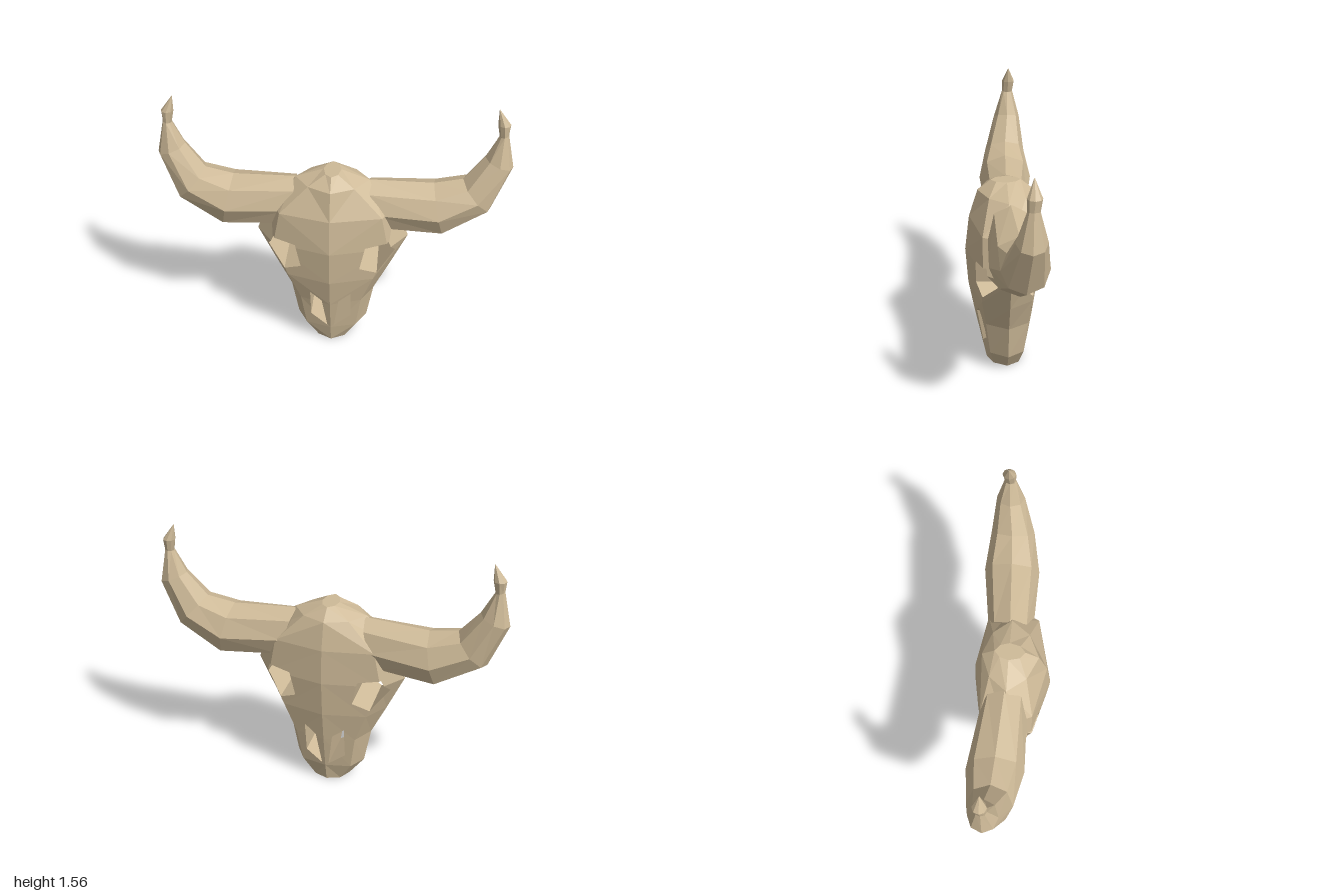
import * as THREE from 'three';

const V = (x, y, z) => new THREE.Vector3(x, y, z);
const MID_Z = -0.02;

// Flat-shaded geometry from a list of triangles, optionally mirrored in x
function toGeometry(tris, mirror) {
  const pts = tris.flatMap(([a, b, c]) => (mirror ? [a, c, b] : [a, b, c]))
    .map(p => (mirror ? V(-p.x, p.y, p.z) : p));
  const g = new THREE.BufferGeometry().setFromPoints(pts);
  g.computeVertexNormals();
  return g;
}

const fan = poly => poly.slice(2).map((p, i) => [poly[0], poly[i + 1], p]);

// Joins neighbouring cross-sections with triangles
function skin(rows, closed) {
  const tris = [];
  for (let i = 0; i + 1 < rows.length; i++) {
    const n = rows[i].length;
    for (let j = 0; j < (closed ? n : n - 1); j++) {
      const k = (j + 1) % n;
      const [a, b, c, d] = [rows[i][j], rows[i][k], rows[i + 1][k], rows[i + 1][j]];
      tris.push([a, b, c], [a, c, d]);
    }
  }
  return tris;
}

// Signed distance of p from the line through e0 and e1 in the xy plane
function side(p, [e0, e1]) {
  const dx = e1[0] - e0[0], dy = e1[1] - e0[1];
  return (dx * (p.y - e0[1]) - dy * (p.x - e0[0])) / Math.hypot(dx, dy);
}

// Splits a convex polygon by a line into [inside, outside]
function split(poly, edge) {
  const inside = [], outside = [];
  poly.forEach((p, i) => {
    const q = poly[(i + 1) % poly.length];
    const sp = side(p, edge), sq = side(q, edge);
    if (sp >= 0) inside.push(p);
    if (sp <= 0) outside.push(p);
    if (sp * sq < 0) {
      const m = p.clone().lerp(q, sp / (sp - sq));
      inside.push(m);
      outside.push(m);
    }
  });
  return [inside, outside];
}

// Cuts a convex hole (counter-clockwise in xy) through the faces and walls it in
function cut(faces, hole, walls) {
  const edges = hole.map((p, i) => [p, hole[(i + 1) % hole.length]]);
  const kept = [];
  for (const face of faces) {
    let rest = face;
    const pieces = [];
    for (const edge of edges) {
      if (rest.length < 3) break;
      const [inside, outside] = split(rest, edge);
      if (outside.length > 2) pieces.push(outside);
      rest = inside;
    }
    if (rest.length < 3) { kept.push(face); continue; }
    kept.push(...pieces);
    rest.forEach((p, i) => {
      const q = rest[(i + 1) % rest.length];
      if (!edges.some(e => Math.abs(side(p, e)) < 1e-6 && Math.abs(side(q, e)) < 1e-6)) return;
      const p2 = V(p.x, p.y, MID_Z), q2 = V(q.x, q.y, MID_Z);
      walls.push([p, q, q2], [p, q2, p2]);
    });
  }
  return kept;
}

// Half skull, from muzzle to crown
function skullHalf() {
  // y, bevel x, outer x, front z, front bevel z, back z, back bevel z
  const rows = [
    [0, 0.08, 0.12, 0.10, 0.06, -0.12, -0.09],
    [0.12, 0.15, 0.21, 0.125, 0.085, -0.145, -0.115],
    [0.34, 0.18, 0.25, 0.17, 0.11, -0.18, -0.14],
    [0.53, 0.25, 0.34, 0.205, 0.135, -0.205, -0.155],
    [0.75, 0.33, 0.44, 0.22, 0.13, -0.22, -0.16],
    [0.96, 0.29, 0.36, 0.195, 0.13, -0.21, -0.16],
    [1.12, 0.13, 0.21, 0.145, 0.085, -0.17, -0.12],
    [1.18, 0.035, 0.05, 0.07, 0.04, -0.10, -0.07],
  ].map(([y, bx, w, f, fb, b, bb]) =>
    [V(0, y, f), V(bx, y, fb), V(w, y, MID_Z), V(bx, y, bb), V(0, y, b)]);

  const eye = [[0.33, 0.79], [0.20, 0.77], [0.17, 0.62], [0.27, 0.575], [0.37, 0.69]];
  const nostril = [[0.12, 0.415], [0.05, 0.36], [0.02, 0.135], [0.12, 0.21]];
  const walls = [];
  let faces = skin(rows, false);
  for (const hole of [eye, nostril]) faces = cut(faces, hole, walls);
  return {
    bone: [...faces.flatMap(fan), ...fan([...rows[0]].reverse()), ...fan(rows[rows.length - 1])],
    sockets: walls,
  };
}

// Curved horn: upper/inner point, lower/outer point, centre z, z radius
function horn() {
  const SIDES = 8;
  const rings = [
    [0.20, 1.115, 0.30, 0.80, -0.03, 0.13],
    [0.57, 1.10, 0.64, 0.785, -0.05, 0.16],
    [0.73, 1.13, 0.90, 0.945, -0.06, 0.125],
    [0.84, 1.27, 1.00, 1.21, -0.08, 0.08],
    [0.905, 1.40, 0.955, 1.41, -0.085, 0.032],
    [0.89, 1.47, 0.96, 1.47, -0.09, 0.038],
    [0.889, 1.56, 0.891, 1.56, -0.09, 0.001],
  ].map(([ix, iy, ox, oy, z, rz]) => Array.from({ length: SIDES }, (_, i) => {
    const a = i / SIDES * Math.PI * 2, t = (1 + Math.cos(a)) / 2;
    return V(ox + (ix - ox) * t, oy + (iy - oy) * t, z + rz * Math.sin(a));
  }));
  return [...skin(rings, true), ...fan([...rings[0]].reverse())];
}

export function createModel() {
  const model = new THREE.Group();
  model.name = 'hornedSkull';
  const bone = new THREE.MeshStandardMaterial({ color: 0xceba98 });
  bone.name = 'bone';
  bone.flatShading = true;

  const half = skullHalf();
  const parts = { SkullHalf: half.bone, SocketWalls: half.sockets, Horn: horn() };
  for (const [label, tris] of Object.entries(parts)) {
    for (const mirror of [false, true]) {
      const mesh = new THREE.Mesh(toGeometry(tris, mirror), bone);
      mesh.name = (mirror ? 'right' : 'left') + label;
      model.add(mesh);
    }
  }
  return model;
}
